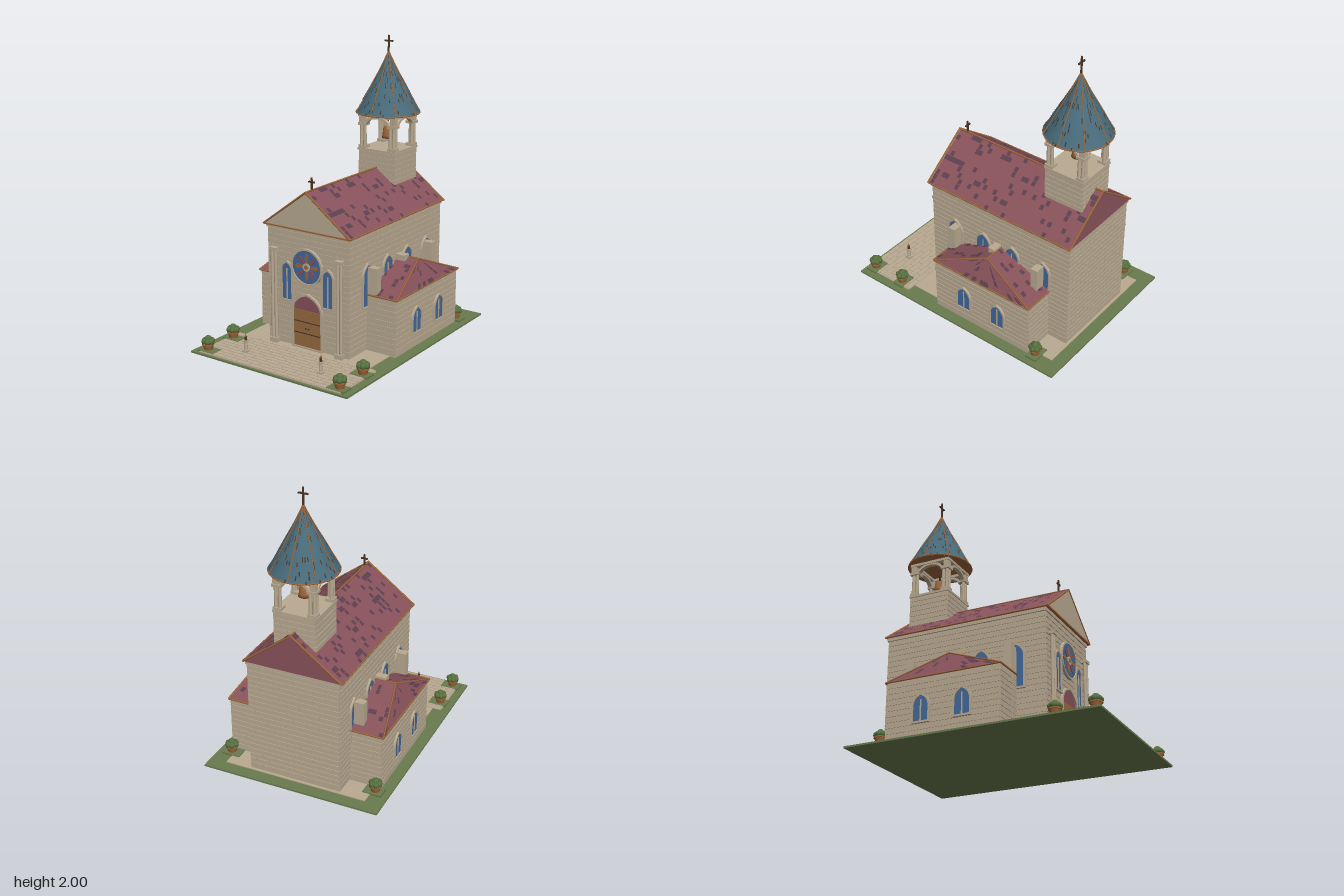
import * as THREE from 'three';
import { mergeGeometries } from 'three/addons/utils/BufferGeometryUtils.js';

const mat = (name, color, side = THREE.FrontSide) => {
  const m = new THREE.MeshStandardMaterial({ color, side });
  m.name = name;
  return m;
};
const V = (x, y, z) => new THREE.Vector3(x, y, z);

export function createModel() {
  const stone = mat('stone', 0xbaaa92), grass = mat('grass', 0x697b4f), roofRed = mat('roof tile', 0x88525b);
  const darkTile = mat('dark tile', 0x5c3f4e, THREE.DoubleSide), teal = mat('spire tile', 0x486b7b);
  const glass = mat('glass', 0x42699c), copper = mat('copper', 0x9e663a), wood = mat('door wood', 0x976a40);
  const iron = mat('dark iron', 0x4a3424), leaf = mat('leaf', 0x56703f);
  const root = new THREE.Group();
  root.name = 'chapel';
  let seed = 7;
  const rnd = () => (seed = (seed * 16807) % 2147483647) / 2147483647;

  const group = (name, parent = root, x = 0, y = 0, z = 0, ry = 0) => {
    const g = new THREE.Group();
    g.name = name;
    g.position.set(x, y, z);
    g.rotation.y = ry;
    parent.add(g);
    return g;
  };
  const add = (name, geo, m, parent = root, x = 0, y = 0, z = 0) => {
    const o = new THREE.Mesh(geo, m);
    o.name = name;
    o.position.set(x, y, z);
    parent.add(o);
    return o;
  };
  // box given by its min and max corners
  const box = (name, m, x0, x1, y0, y1, z0, z1, parent) =>
    add(name, new THREE.BoxGeometry(x1 - x0, y1 - y0, z1 - z0), m, parent, (x0 + x1) / 2, (y0 + y1) / 2, (z0 + z1) / 2);
  const cyl = (name, m, rTop, rBot, y0, y1, x, z, parent, n = 12) =>
    add(name, new THREE.CylinderGeometry(rTop, rBot, y1 - y0, n), m, parent, x, (y0 + y1) / 2, z);
  const beam = (name, m, a, b, r, parent) => {
    const o = add(name, new THREE.CylinderGeometry(r, r, a.distanceTo(b), 6), m, parent);
    o.position.copy(a).add(b).multiplyScalar(0.5);
    o.quaternion.setFromUnitVectors(V(0, 1, 0), b.clone().sub(a).normalize());
  };
  const plate = (name, shape, depth, m, parent, x = 0, y = 0, z = 0) =>
    add(name, new THREE.ExtrudeGeometry(shape, { depth, bevelEnabled: false, curveSegments: 14 }), m, parent, x, y, z);
  const trace = (s, w, y0, spring, top) => {
    s.moveTo(-w, y0).lineTo(w, y0).lineTo(w, spring);
    s.bezierCurveTo(w, spring + (top - spring) * 0.55, w * 0.5, top - 0.012, 0, top);
    s.bezierCurveTo(-w * 0.5, top - 0.012, -w, spring + (top - spring) * 0.55, -w, spring);
    return s;
  };
  const arch = (...a) => trace(new THREE.Shape(), ...a);
  const archFrame = (w, y0, spring, top, t) => {
    const s = arch(w + t, y0 - t, spring, top + t);
    s.holes.push(trace(new THREE.Path(), w, y0, spring, top));
    return s;
  };
  const archWindow = (parent, x, y, z, ry, w, h) => {
    const g = group('archedWindow', parent, x, y, z, ry), spring = h - w * 1.5;
    plate('windowGlass', arch(w, 0, spring, h), 0.009, glass, g);
    plate('windowFrame', archFrame(w, 0, spring, h, 0.013), 0.017, stone, g);
    box('windowMullion', stone, -0.004, 0.004, 0, h * 0.84, 0, 0.014, g);
  };
  // staggered raised blocks over a wall or floor
  const masonry = (name, w, h, x, y, z, ry, rx = 0, parent = root) => {
    const rows = Math.round(h / 0.038), rh = h / rows, cols = Math.max(1, Math.round(w / 0.1)), cw = w / cols, list = [];
    for (let r = 0; r < rows; r++) {
      for (let c = 0; c <= cols; c++) {
        const off = r % 2 ? 0.5 : 0;
        const a = Math.max(0, (c - off) * cw), b = Math.min(w, (c + 1 - off) * cw);
        if (b - a < 0.01) continue;
        list.push(new THREE.BoxGeometry(b - a - 0.005, rh - 0.005, 0.008)
          .translate((a + b) / 2 - w / 2, (r + 0.5) * rh, 0));
      }
    }
    add(name, mergeGeometries(list), stone, parent, x, y, z).rotation.set(rx, ry, 0);
  };
  // scattered flat tiles on a surface point(s, t)
  const patches = (name, point, nu, nv, chance, m, parent, fill = 1) => {
    const pos = [];
    for (let j = 0; j < nv; j++) for (let i = 0; i < nu; i++) {
      if (rnd() > chance) continue;
      const s0 = i / nu, s1 = (i + fill) / nu, t0 = j / nv, t1 = (j + 0.9) / nv;
      const [a, b, c, d] = [point(s0, t0), point(s1, t0), point(s1, t1), point(s0, t1)];
      for (const p of [a, b, c, a, c, d]) pos.push(p.x, p.y, p.z);
    }
    const g = new THREE.BufferGeometry();
    g.setAttribute('position', new THREE.Float32BufferAttribute(pos, 3));
    g.computeVertexNormals();
    add(name, g, m, parent);
  };
  const quad = (A, B, C, D) => {
    const n = B.clone().sub(A).cross(D.clone().sub(A)).normalize().multiplyScalar(0.004);
    return (s, t) => A.clone().lerp(B, s).lerp(D.clone().lerp(C, s), t).add(n);
  };
  const cross = (x, y0, y1, z, bar, w) => {
    const g = group('cross', root, x, 0, z);
    box('crossPost', iron, -0.005, 0.005, y0, y1, -0.005, 0.005, g);
    box('crossBar', iron, -w, w, bar - 0.005, bar + 0.005, -0.005, 0.005, g);
  };

  // ground
  box('lawn', grass, -0.627, 0.627, 0, 0.012, -0.855, 0.85);
  box('pavedYard', stone, -0.508, 0.508, 0.01, 0.018, -0.77, 0.44);
  box('pavedForecourt', stone, -0.57, 0.57, 0.01, 0.018, 0.44, 0.835);
  masonry('pavers', 1.13, 0.4, 0, 0.018, 0.832, 0, -Math.PI / 2);

  // nave walls
  box('naveWalls', stone, -0.325, 0.325, 0.01, 0.84, -0.752, 0.387);
  box('cornice', stone, -0.335, 0.335, 0.812, 0.838, -0.76, 0.395);
  masonry('frontStones', 0.65, 0.78, 0, 0.03, 0.387, 0);
  masonry('backStones', 0.65, 0.78, 0, 0.03, -0.752, Math.PI);
  for (const s of [1, -1]) {
    masonry('sideStones', 1.139, 0.78, s * 0.325, 0.03, -0.1825, s * Math.PI / 2);
    for (const z of [0.185, -0.058, -0.3, -0.55]) archWindow(root, s * 0.325, 0.33, z, s * Math.PI / 2, 0.054, 0.28);
    for (const z of [0.16, -0.185, -0.535]) {
      box('buttress', stone, s * 0.3625 - 0.0425, s * 0.3625 + 0.0425, 0.01, 0.594, z - 0.026, z + 0.026);
    }
  }

  // nave roof
  const gable = (w, y0, y1) => new THREE.Shape([new THREE.Vector2(-w, y0), new THREE.Vector2(w, y0), new THREE.Vector2(0, y1)]);
  plate('naveRoof', gable(0.348, 0.835, 1.095), 1.167, roofRed, root, 0, 0, -0.767);
  plate('pediment', gable(0.335, 0.837, 1.085), 0.012, stone, root, 0, 0, 0.4);
  for (const s of [1, -1]) {
    const zA = s > 0 ? 0.395 : -0.762, zB = s > 0 ? -0.762 : 0.395;
    patches('darkRoofTiles', quad(V(s * 0.348, 0.835, zA), V(s * 0.348, 0.835, zB), V(0, 1.095, zB), V(0, 1.095, zA)), 42, 11, 0.17, darkTile);
    beam('eaveTrim', copper, V(s * 0.346, 0.836, 0.41), V(s * 0.346, 0.836, -0.767), 0.006);
    for (const z of [0.41, -0.767]) beam('rakeTrim', copper, V(s * 0.346, 0.836, z), V(0, 1.095, z), 0.007);
  }
  beam('ridgeTrim', copper, V(0, 1.095, 0.415), V(0, 1.095, -0.767), 0.007);
  box('gableBaseTrim', copper, -0.345, 0.345, 0.832, 0.842, 0.4, 0.415);
  cross(0, 1.08, 1.18, 0.34, 1.15, 0.024);

  // front: door, rose window, lancets, paired columns
  const front = group('frontDetails', root, 0, 0, 0.387);
  plate('doorTympanum', arch(0.11, 0.02, 0.275, 0.39), 0.008, roofRed, front);
  plate('doorFrame', archFrame(0.11, 0.03, 0.275, 0.39, 0.014), 0.02, stone, front);
  for (const s of [1, -1]) {
    box('doorLeaf', wood, s * 0.0555 - 0.0535, s * 0.0555 + 0.0535, 0.03, 0.285, 0.004, 0.013, front);
    box('doorKnob', iron, s * 0.012 - 0.004, s * 0.012 + 0.004, 0.155, 0.165, 0.01, 0.02, front);
    archWindow(front, s * 0.165, 0.338, 0, 0, 0.038, 0.255);
    for (const x of [0.25, 0.277]) {
      cyl('frontColumn', stone, 0.011, 0.012, 0.05, 0.665, s * x, 0.022, front);
    }
    box('columnBase', stone, s * 0.264 - 0.03, s * 0.264 + 0.03, 0.01, 0.05, 0, 0.042, front);
    box('columnCapital', stone, s * 0.264 - 0.028, s * 0.264 + 0.028, 0.665, 0.685, 0, 0.04, front);
  }
  for (const y of [0.125, 0.205]) box('doorStrap', iron, -0.105, 0.105, y - 0.003, y + 0.003, 0.01, 0.016, front);
  const disc = (r) => new THREE.Shape().absarc(0, 0, r, 0, Math.PI * 2);
  const ring = disc(0.125);
  ring.holes.push(new THREE.Path().absarc(0, 0, 0.113, 0, Math.PI * 2));
  const rose = group('roseWindow', front, 0, 0.59, 0);
  plate('roseFrame', ring, 0.022, stone, rose);
  plate('roseGlass', disc(0.114), 0.014, glass, rose);
  for (let i = 0; i < 8; i++) {
    const petal = new THREE.Shape().absellipse(0, 0.06, 0.013, 0.033, 0, Math.PI * 2);
    plate('rosePetal', petal, 0.004, i % 2 ? roofRed : copper, rose, 0, 0, 0.014).rotation.z = i * Math.PI / 4;
  }
  plate('roseHub', disc(0.028), 0.007, stone, rose, 0, 0, 0.014);
  plate('roseHubCenter', disc(0.014), 0.003, copper, rose, 0, 0, 0.021);

  // side wings with hipped roofs, built facing +x about their own centre
  for (const ry of [0, Math.PI]) {
    const g = group('sideWing', root, 0, 0, -0.21, ry);
    box('wingWalls', stone, 0.3, 0.55, 0.01, 0.412, -0.394, 0.394, g);
    masonry('wingEndStones', 0.788, 0.375, 0.55, 0.03, 0, Math.PI / 2, 0, g);
    for (const s of [1, -1]) {
      masonry('wingSideStones', 0.22, 0.375, 0.44, 0.03, s * 0.394, s > 0 ? 0 : Math.PI, 0, g);
      archWindow(g, 0.55, 0.122, s * 0.143, Math.PI / 2, 0.052, 0.168);
    }
    const A = V(0.33, 0.41, 0.403), B = V(0.562, 0.41, 0.403), C = V(0.562, 0.41, -0.403), D = V(0.33, 0.41, -0.403);
    const R = V(0.33, 0.575, 0), E = V(0.478, 0.575, 0);
    const geo = new THREE.BufferGeometry().setFromPoints([A, B, E, A, E, R, B, C, E, C, D, R, C, R, E, D, C, B, D, B, A]);
    geo.computeVertexNormals();
    add('wingRoof', geo, roofRed, g);
    patches('wingDarkTiles', quad(A, B, E, R), 7, 11, 0.13, darkTile, g);
    patches('wingDarkTiles', quad(C, D, R, E), 7, 11, 0.13, darkTile, g);
    patches('wingDarkTiles', quad(B, C, E, E), 22, 5, 0.13, darkTile, g);
    for (const [a, b] of [[A, B], [B, C], [C, D], [B, E], [C, E], [R, E]]) beam('wingRoofTrim', copper, a, b, 0.006, g);
  }

  // bell tower
  const tower = group('bellTower', root, 0, 0, -0.565);
  box('towerBase', stone, -0.145, 0.145, 0.82, 1.215, -0.145, 0.145, tower);
  box('towerLedge', stone, -0.152, 0.152, 1.205, 1.22, -0.152, 0.152, tower);
  const archRing = new THREE.Shape();
  archRing.moveTo(0.105, 1.38).absellipse(0, 1.38, 0.105, 0.07, 0, Math.PI);
  archRing.lineTo(-0.088, 1.38).absellipse(0, 1.38, 0.088, 0.053, Math.PI, 0, true);
  for (let i = 0; i < 4; i++) {
    const g = group('belfrySide', tower, 0, 0, 0, i * Math.PI / 2);
    masonry('towerStones', 0.29, 0.22, 0, 0.985, 0.145, 0, 0, g);
    plate('belfryArch', archRing, 0.03, stone, g, 0, 0, 0.115);
    box('belfryBeam', stone, -0.15, 0.15, 1.443, 1.466, 0.11, 0.15, g);
    for (const [x, z] of [[0.132, 0.132], [0.104, 0.132], [0.132, 0.104]]) {
      cyl('belfryColumn', stone, 0.011, 0.013, 1.22, 1.39, x, z, g, 10);
    }
    box('columnFoot', stone, 0.09, 0.149, 1.22, 1.24, 0.09, 0.149, g);
    box('columnCap', stone, 0.09, 0.152, 1.38, 1.4, 0.09, 0.152, g);
    box('cornerPost', stone, 0.108, 0.146, 1.4, 1.45, 0.108, 0.146, g);
  }
  const bell = [[0, 1.28], [0.042, 1.28], [0.038, 1.3], [0.032, 1.355], [0.02, 1.365], [0, 1.366]];
  add('bell', new THREE.LatheGeometry(bell.map((p) => new THREE.Vector2(...p)), 20), copper, tower);
  cyl('bellRod', iron, 0.006, 0.006, 1.36, 1.47, 0, 0, tower, 8);

  // flared spire with ribs
  const profile = [[0.224, 1.468], [0.188, 1.53], [0.153, 1.6], [0.098, 1.695], [0.042, 1.8], [0.014, 1.86], [0.002, 1.885]];
  const curve = new THREE.SplineCurve(profile.map((p) => new THREE.Vector2(...p)));
  add('spire', new THREE.LatheGeometry(curve.getPoints(14), 32), teal, tower);
  cyl('spireSoffit', copper, 0.222, 0.222, 1.462, 1.469, 0, 0, tower, 32);
  add('spireRim', new THREE.TorusGeometry(0.223, 0.005, 6, 32), copper, tower, 0, 1.467, 0).rotation.x = Math.PI / 2;
  const onSpire = (s, t, out) => {
    const p = curve.getPoint(t), a = s * Math.PI * 2;
    return V(Math.sin(a) * (p.x + out), p.y, Math.cos(a) * (p.x + out));
  };
  patches('spireDarkTiles', (s, t) => onSpire(s, t * 0.85, 0.003), 64, 14, 0.18, iron, tower, 0.4);
  patches('spireDarkTiles', (s, t) => onSpire(-s, t * 0.85, 0.003), 64, 14, 0.09, iron, tower, 0.4);
  for (let i = 0; i < 8; i++) {
    const path = new THREE.CatmullRomCurve3([0, 0.2, 0.4, 0.6, 0.8, 1].map((t) => onSpire(i / 8, t, 0.001)));
    add('spireRib', new THREE.TubeGeometry(path, 14, 0.004, 6), copper, tower);
  }
  cross(0, 1.87, 2, -0.565, 1.96, 0.033);

  // planters and lantern posts
  for (const s of [1, -1]) {
    for (const z of [-0.65, 0.53, 0.785]) {
      box('grassPatch', grass, s * 0.52 - 0.065, s * 0.52 + 0.065, 0.01, 0.025, z - 0.043, z + 0.043);
      const g = group('planter', root, s * 0.53, 0, z);
      cyl('pot', copper, 0.038, 0.027, 0.02, 0.066, 0, 0, g, 14);
      cyl('potRim', copper, 0.042, 0.042, 0.06, 0.07, 0, 0, g, 14);
      add('bushTop', new THREE.SphereGeometry(0.026, 10, 8), leaf, g, 0, 0.096, 0);
      for (let i = 0; i < 6; i++) {
        const a = i * Math.PI / 3;
        add('bushLeafClump', new THREE.SphereGeometry(0.021, 10, 8), leaf, g, Math.cos(a) * 0.026, 0.083, Math.sin(a) * 0.026);
      }
    }
    const p = group('lanternPost', root, s * 0.304, 0, 0.67);
    box('postFoot', stone, -0.019, 0.019, 0.015, 0.035, -0.019, 0.019, p);
    cyl('postShaft', stone, 0.011, 0.014, 0.035, 0.095, 0, 0, p, 10);
    box('postCap', stone, -0.016, 0.016, 0.092, 0.102, -0.016, 0.016, p);
    cyl('lantern', iron, 0.007, 0.01, 0.102, 0.13, 0, 0, p, 8);
    cyl('lanternTip', copper, 0.001, 0.008, 0.13, 0.146, 0, 0, p, 8);
  }
  return root;
}
